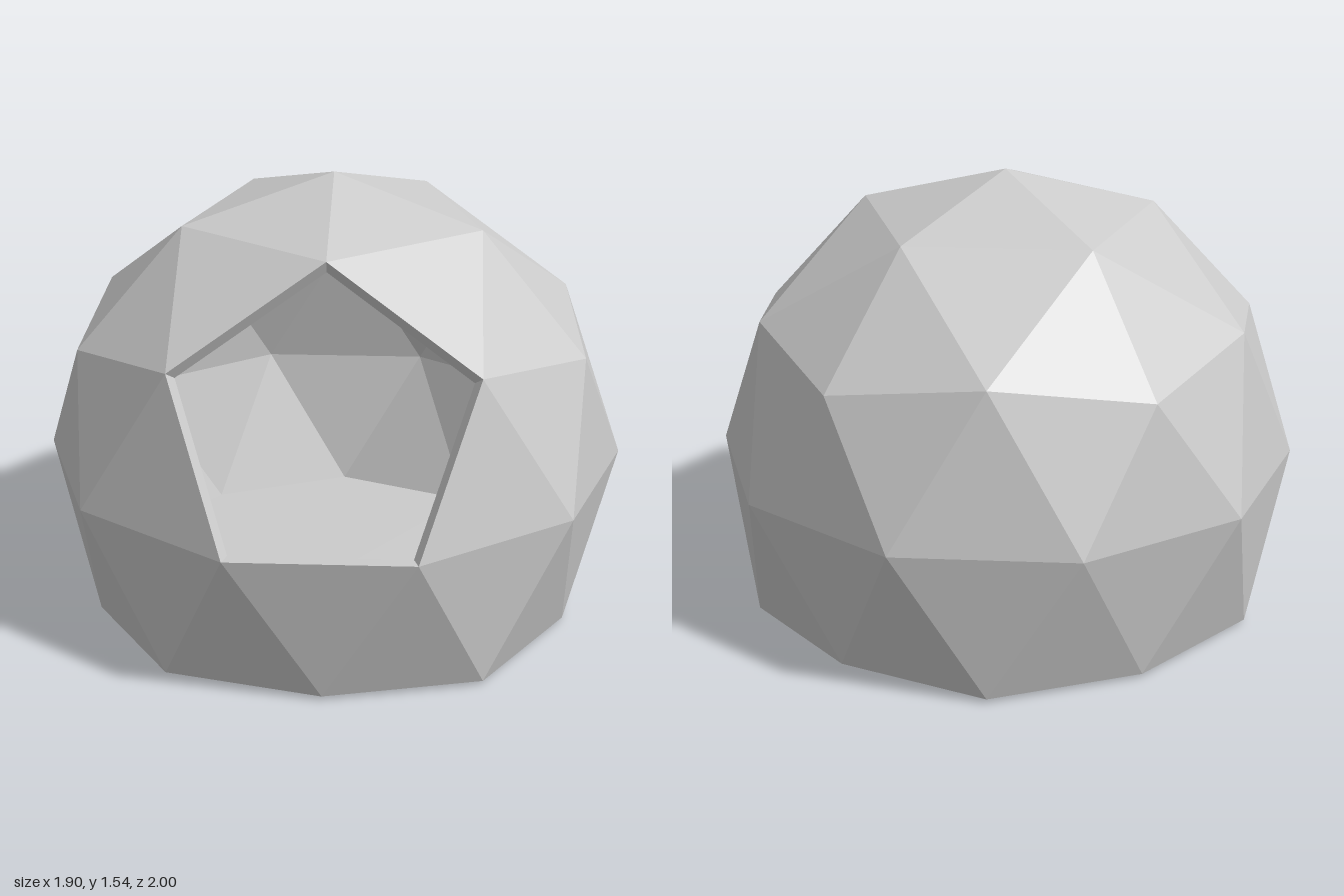
import * as THREE from 'three';

const CENTRE_Y = 0.54;   // height of the sphere's centre above the ground
const INNER = 0.95;      // inner skin scale, giving the wall thickness

// point on a horizontal ring, angle measured from +x towards +z
function ringPoint(degrees, radius, y) {
  const a = THREE.MathUtils.degToRad(degrees);
  return new THREE.Vector3(Math.cos(a) * radius, y, Math.sin(a) * radius);
}

// flat-shaded mesh whose triangles face away from (or towards) a reference point
function facetMesh(name, triangles, reference, away) {
  const points = [];
  for (const [a, b, c] of triangles) {
    const normal = b.clone().sub(a).cross(c.clone().sub(a));
    const middle = a.clone().add(b).add(c).divideScalar(3).sub(reference);
    points.push(...((normal.dot(middle) > 0) === away ? [a, b, c] : [a, c, b]));
  }
  const geometry = new THREE.BufferGeometry().setFromPoints(points);
  geometry.computeVertexNormals();
  const mesh = new THREE.Mesh(geometry,
    new THREE.MeshStandardMaterial({ color: 0xcccccc, flatShading: true }));
  mesh.name = name;
  mesh.position.y = CENTRE_Y;
  return mesh;
}

export function createModel() {
  const group = new THREE.Group();
  group.name = 'geodesicDome';

  // rings of a twice-divided icosahedron, from the crown to the ground
  const top = new THREE.Vector3(0, 1, 0);
  const crown = [], hubs = [], links = [], equator = [], foot = [];
  const hubFeet = [0.014, 0.018, 0.013, 0.015, 0]; // slightly uneven ground points
  for (let k = 0; k < 5; k++) {
    crown.push(ringPoint(72 * k, 0.526, 0.851));
    hubs.push(ringPoint(72 * k, 0.894, 0.447));
    links.push(ringPoint(72 * k + 36, 0.851, 0.526));
    foot.push(ringPoint(72 * k, 0.851, -0.526));
    foot.push(ringPoint(72 * k + 36, 0.894, hubFeet[k] - CENTRE_Y));
  }
  for (let j = 0; j < 10; j++) equator.push(ringPoint(36 * j + 18, 1, 0));

  // all panels of the dome
  const panels = [];
  for (let k = 0; k < 5; k++) {
    const n = (k + 1) % 5, p = (k + 4) % 5;
    const e0 = equator[2 * k], e1 = equator[2 * k + 1], ePrev = equator[(2 * k + 9) % 10];
    panels.push(
      [top, crown[k], crown[n]], [crown[k], crown[n], links[k]],
      [hubs[k], crown[k], links[k]], [hubs[k], crown[k], links[p]],
      [hubs[k], links[k], e0], [hubs[n], links[k], e1],
      [links[k], e0, e1], [hubs[k], ePrev, e0]);
  }
  for (let j = 0; j < 10; j++) {
    panels.push([foot[j], equator[(j + 9) % 10], equator[j]],
      [equator[j], foot[j], foot[(j + 1) % 10]]);
  }

  // the five panels around one front hub are left out as the doorway
  const wall = panels.filter((t) => !t.includes(hubs[1]));
  const shrink = (v) => v.clone().multiplyScalar(INNER);
  const origin = new THREE.Vector3();
  group.add(facetMesh('outerShell', wall, origin, true));
  group.add(facetMesh('innerShell', wall.map((t) => t.map(shrink)), origin, false));

  // underside and inside floor
  const footCentre = new THREE.Vector3(0, 0.013 - CENTRE_Y, 0);
  const base = foot.map((f, j) => [footCentre, f, foot[(j + 1) % 10]]);
  group.add(facetMesh('base', base, origin, true));
  group.add(facetMesh('floor', base.map((t) => t.map(shrink)), origin, false));

  // rim joining both skins around the pentagonal doorway
  const rim = [crown[1], links[0], equator[1], equator[2], links[1]];
  const doorCentre = rim.reduce((s, v) => s.add(v), new THREE.Vector3()).multiplyScalar(0.195);
  const frame = [];
  rim.forEach((a, i) => {
    const b = rim[(i + 1) % 5];
    frame.push([a, b, shrink(b)], [a, shrink(b), shrink(a)]);
  });
  group.add(facetMesh('doorFrame', frame, doorCentre, false));

  return group;
}
